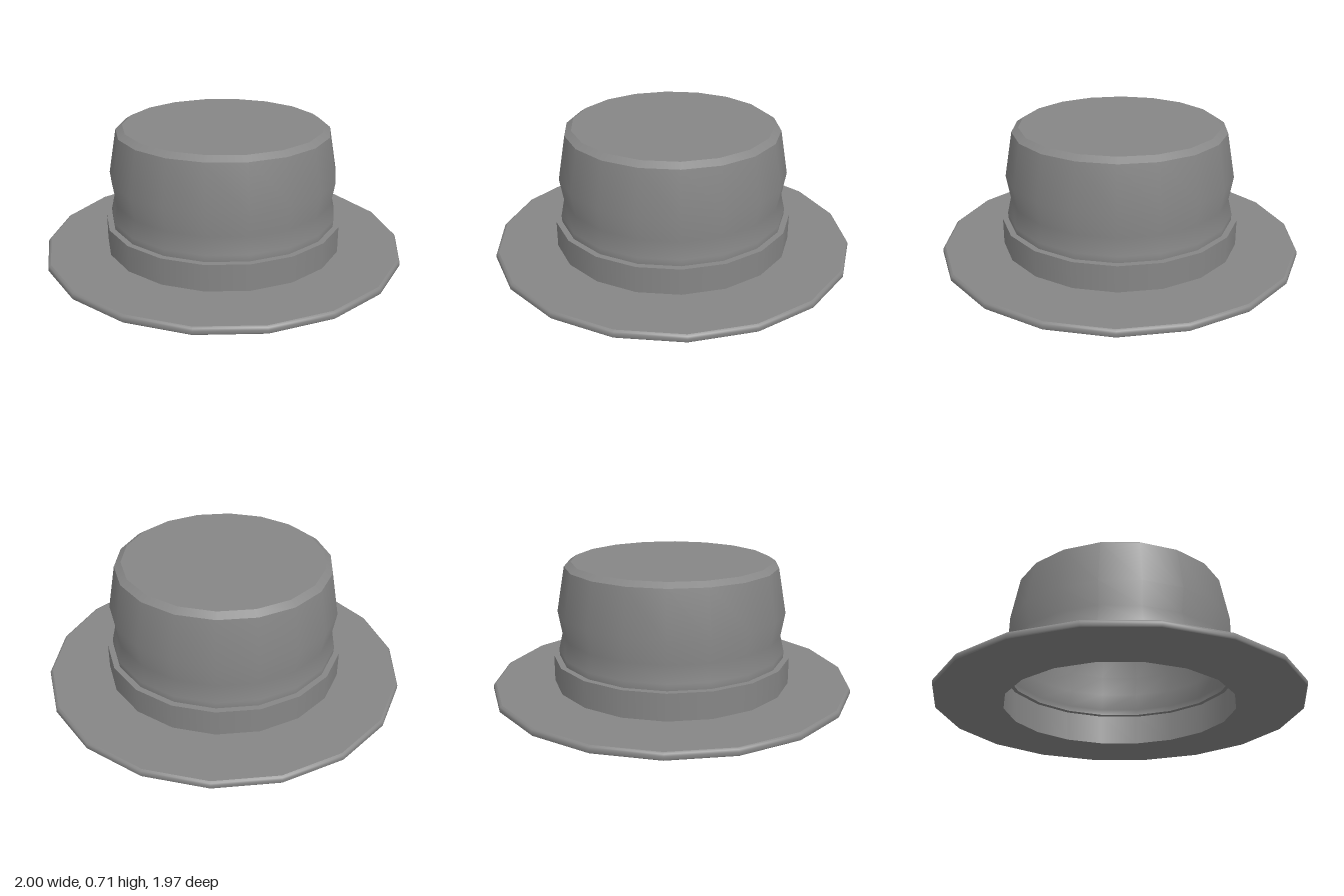
import * as THREE from 'three';

const SIDES = 18;

// One smooth surface of revolution; profile runs [radius, height], a corner of the polygon lies on +x
function turned(points, material) {
  const profile = points.map(([r, y]) => new THREE.Vector2(r, y));
  return new THREE.Mesh(new THREE.LatheGeometry(profile, SIDES, Math.PI / 2), material);
}

// A part made of several surfaces that meet in sharp edges
function part(name, material, profiles) {
  const group = new THREE.Group();
  group.name = name;
  profiles.forEach((points, i) => {
    const mesh = turned(points, material);
    mesh.name = `${name}Surface${i + 1}`;
    group.add(mesh);
  });
  return group;
}

export function createModel() {
  const felt = new THREE.MeshStandardMaterial({ color: 0x868686, side: THREE.DoubleSide });
  const hat = new THREE.Group();
  hat.name = 'hat';

  // Flat brim with a softly rounded upper rim, open in the middle
  hat.add(part('brim', felt, [
    [[0.63, 0], [0.995, 0]],
    [[0.995, 0], [1, 0.006], [1, 0.022], [0.995, 0.032], [0.985, 0.038]],
    [[0.985, 0.038], [0.65, 0.038]],
  ]));

  // Band around the foot of the crown: outer wall, ledge on top, inner wall
  hat.add(part('band', felt, [
    [[0.66, 0.03], [0.66, 0.184]],
    [[0.66, 0.184], [0.624, 0.184]],
    [[0.645, 0.18], [0.63, 0]],
  ]));

  // Hollow waisted crown, chamfered edge and flat top
  hat.add(part('crown', felt, [
    [[0.628, 0.184], [0.63, 0.22], [0.609, 0.31], [0.631, 0.44], [0.587, 0.686]],
    [[0.587, 0.686], [0.55, 0.711]],
    [[0.55, 0.711], [0, 0.711]],
  ]));

  return hat;
}
